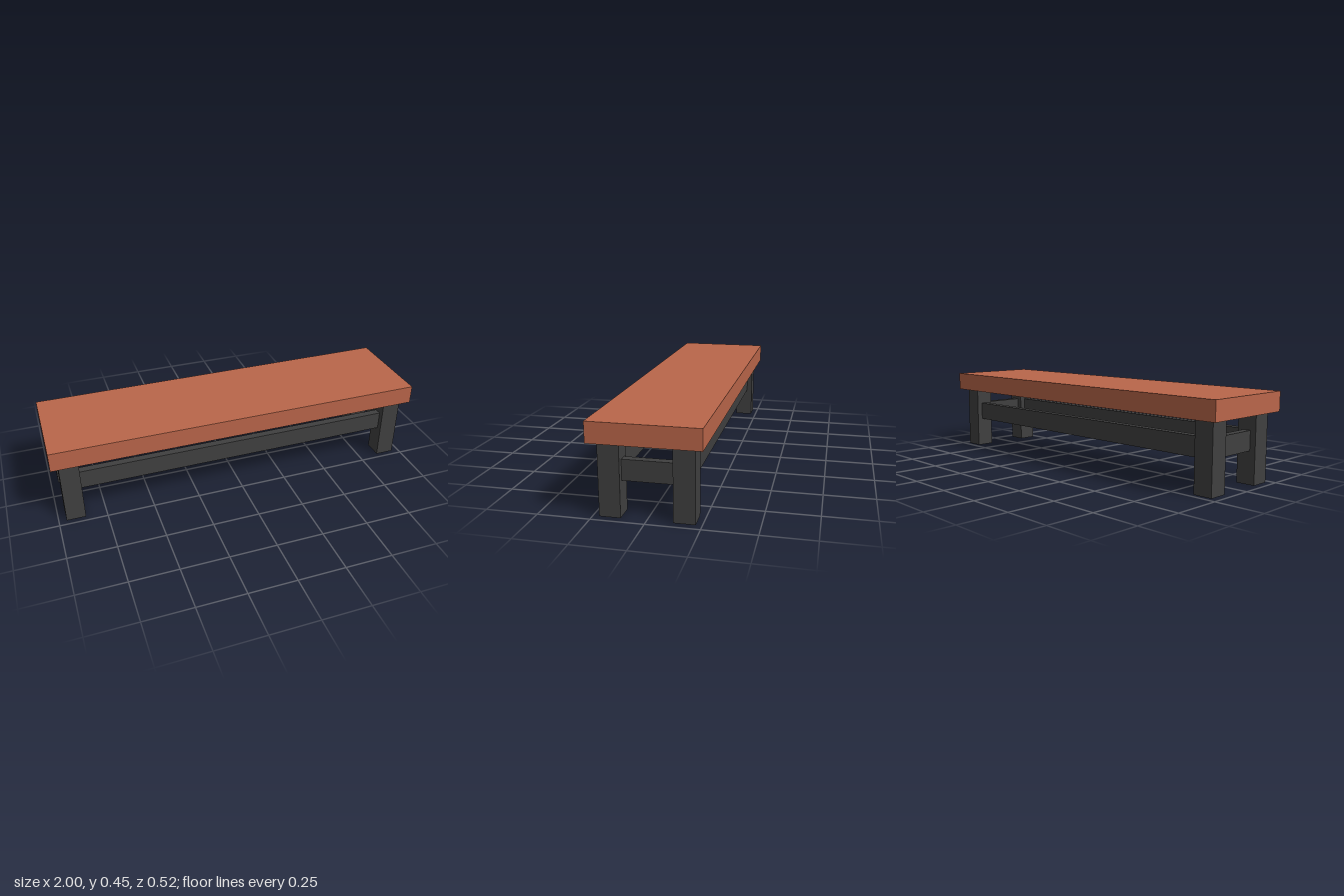
import * as THREE from 'three';

const wood = new THREE.MeshStandardMaterial({ color: 0xba664a });
const iron = new THREE.MeshStandardMaterial({ color: 0x404040 });

function addBox(parent, name, material, size, position) {
  const mesh = new THREE.Mesh(new THREE.BoxGeometry(...size), material);
  mesh.name = name;
  mesh.position.set(...position);
  parent.add(mesh);
}

export function createModel() {
  const bench = new THREE.Group();
  bench.name = 'bench';

  const seatY = 0.352, seatThick = 0.1; // underside height and thickness
  const leg = 0.1, legX = 0.91, legZ = 0.17;
  const railY = 0.217, railHigh = 0.1, railThick = 0.04;

  // Seat slab
  addBox(bench, 'seat', wood, [2, seatThick, 0.52], [0, seatY + seatThick / 2, 0]);

  // Four square legs
  for (const x of [1, -1]) {
    for (const z of [1, -1]) {
      const name = (z > 0 ? 'front' : 'back') + (x > 0 ? 'Left' : 'Right') + 'Leg';
      addBox(bench, name, iron, [leg, seatY, leg], [x * legX, seatY / 2, z * legZ]);
    }
  }

  // Rails between the inner leg faces, centred on the legs
  for (const s of [1, -1]) {
    addBox(bench, s > 0 ? 'frontRail' : 'backRail', iron,
      [2 * legX - leg, railHigh, railThick], [0, railY, s * legZ]);
    addBox(bench, s > 0 ? 'leftRail' : 'rightRail', iron,
      [railThick, railHigh, 2 * legZ - leg], [s * legX, railY, 0]);
  }
  return bench;
}
